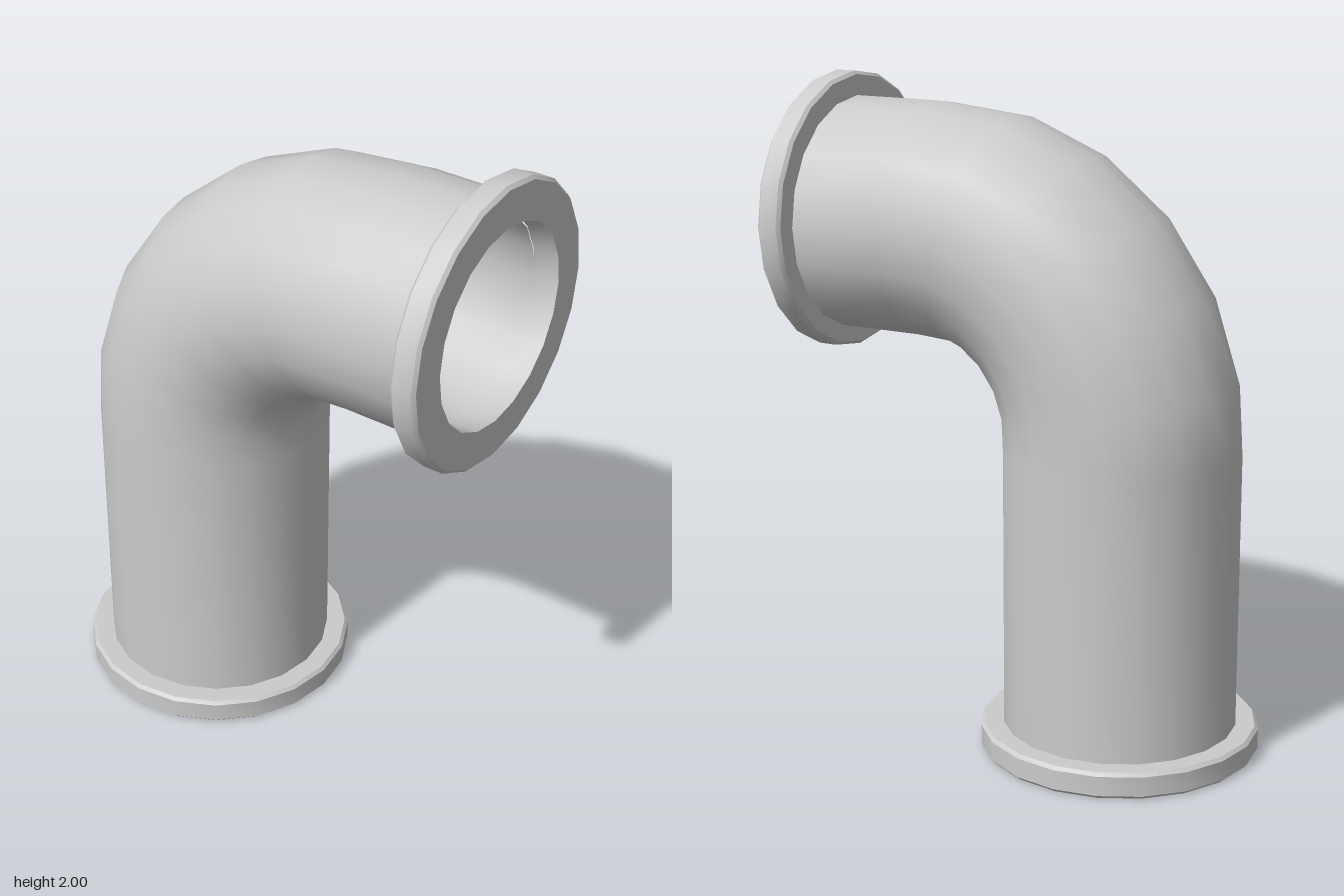
import * as THREE from 'three';
import { toCreasedNormals } from 'three/addons/utils/BufferGeometryUtils.js';

const SIDES = 20;
const BEND = { x: 0.303, y: 0.98, radius: 0.59 }; // centre of the elbow arc
const BORE = 0.303;

// Stations along the pipe: position on the axis and turning angle
function stations() {
  const list = [
    { x: BEND.x - BEND.radius, y: 0.08, a: 0 },
    { x: BEND.x - BEND.radius, y: 0.93, a: 0 },
  ];
  for (const deg of [10, 26.5, 43, 59.5, 76]) {
    const a = THREE.MathUtils.degToRad(deg);
    list.push({
      x: BEND.x - BEND.radius * Math.cos(a),
      y: BEND.y + BEND.radius * Math.sin(a),
      a,
    });
  }
  for (const x of [0.35, 0.63]) list.push({ x, y: BEND.y + BEND.radius, a: Math.PI / 2 });
  return list;
}

// Smooth wall swept through the stations; inward flips it for the bore
function wall(radius, inward) {
  const pos = [], index = [], rings = stations();
  rings.forEach(({ x, y, a }, i) => {
    for (let j = 0; j < SIDES; j++) {
      const t = (j / SIDES) * Math.PI * 2;
      const u = radius * Math.cos(t);
      pos.push(x - u * Math.cos(a), y + u * Math.sin(a), radius * Math.sin(t));
      if (i === rings.length - 1) continue;
      const k = (j + 1) % SIDES;
      const p = i * SIDES + j, q = i * SIDES + k;
      const r = p + SIDES, s = q + SIDES;
      if (inward) index.push(p, r, q, q, r, s);
      else index.push(p, q, r, q, s, r);
    }
  });
  const g = new THREE.BufferGeometry();
  g.setAttribute('position', new THREE.Float32BufferAttribute(pos, 3));
  g.setIndex(index);
  g.computeVertexNormals();
  return g;
}

// Flat ring with slightly bevelled rims, from y = 0 to y = 0.08
function flangeGeometry() {
  const R = 0.425, h = 0.08, b = 0.01;
  const profile = [
    [BORE, 0], [R - b, 0], [R, b], [R, h - b], [R - b, h], [BORE, h], [BORE, 0],
  ].map(([x, y]) => new THREE.Vector2(x, y));
  return toCreasedNormals(new THREE.LatheGeometry(profile, SIDES), 0.5);
}

export function createModel() {
  const model = new THREE.Group();
  model.name = 'pipeElbow';
  const material = new THREE.MeshStandardMaterial({ color: 0xcccccc });
  const add = (geometry, name) => {
    const mesh = new THREE.Mesh(geometry, material);
    mesh.name = name;
    model.add(mesh);
    return mesh;
  };

  // Pipe: outer skin and bore
  add(wall(0.356, false), 'pipeOuterWall');
  add(wall(BORE, true), 'pipeInnerWall');

  // End flanges
  const flange = flangeGeometry();
  add(flange, 'bottomFlange').position.set(BEND.x - BEND.radius, 0, 0);
  const side = add(flange, 'sideFlange');
  side.rotation.z = -Math.PI / 2;
  side.position.set(0.63, 1.575, 0);

  return model;
}
